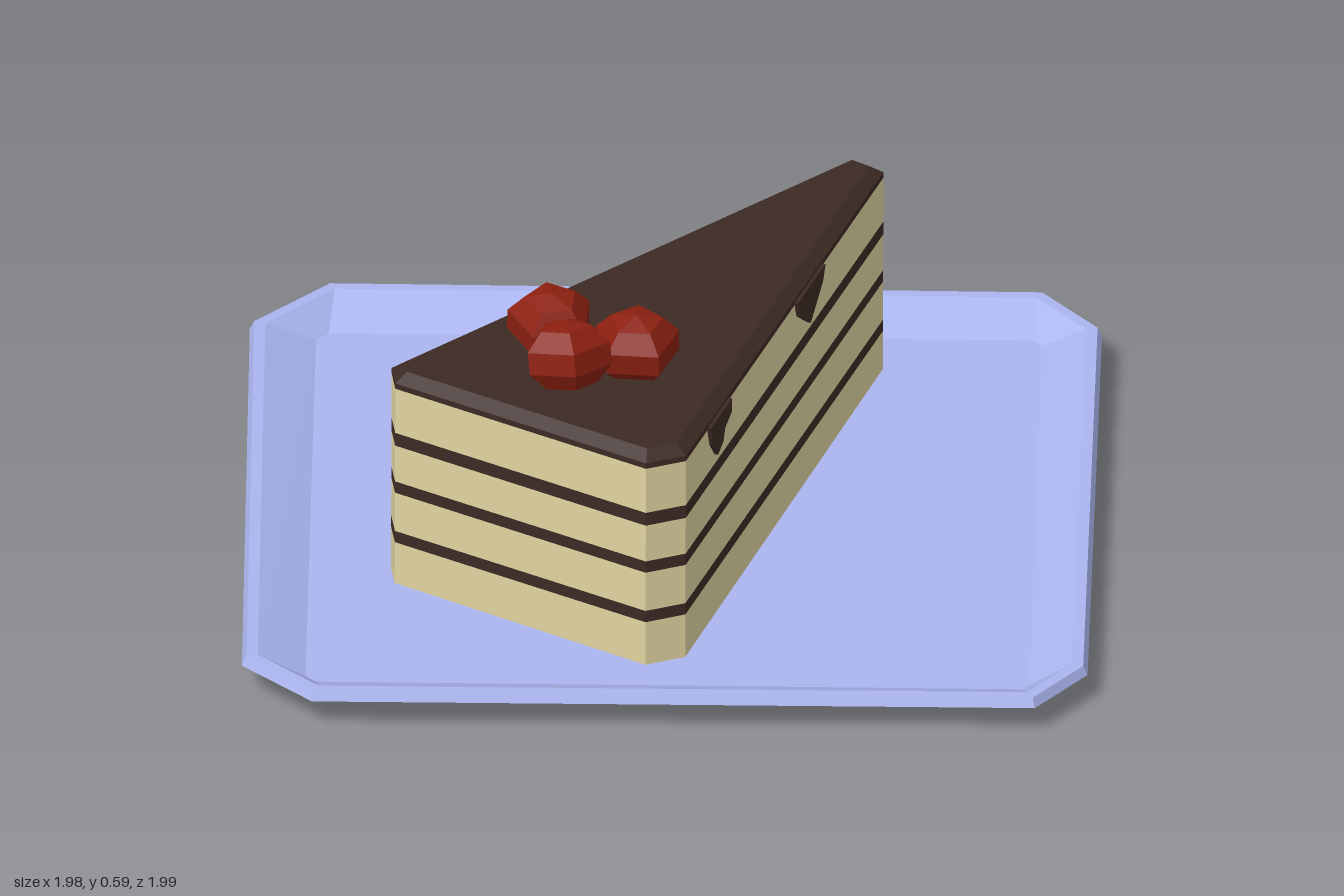
import * as THREE from 'three';

const mat = (color) => new THREE.MeshStandardMaterial({ color, flatShading: true, side: THREE.DoubleSide });
const cream = mat(0xe0d4a0), chocolate = mat(0x3c2a24), cherryRed = mat(0x8c2010), china = mat(0xaab4ee);

// Outlines as [x, z], clockwise from above
const plateEdge = [[-0.22, -0.97], [-0.02, -1], [0.985, -0.2], [0.985, -0.03],
  [0.2, 0.95], [0.05, 0.99], [-0.97, 0.19], [-0.99, 0.01]];
const sliceEdge = [[-0.56, -0.1], [-0.53, -0.15], [0.6, -0.27], [0.62, -0.2], [-0.31, 0.43], [-0.385, 0.41]];

// Moves every edge of an outline inward by k
function inset(pts, k) {
  const n = pts.length;
  const normal = (a, b) => {
    const dx = b[0] - a[0], dz = b[1] - a[1], l = Math.hypot(dx, dz);
    return [-dz / l, dx / l];
  };
  return pts.map((p, i) => {
    const a = normal(pts[(i + n - 1) % n], p), b = normal(p, pts[(i + 1) % n]);
    const f = k / (1 + a[0] * b[0] + a[1] * b[1]);
    return [p[0] + (a[0] + b[0]) * f, p[1] + (a[1] + b[1]) * f];
  });
}

// Draws the two ends of each corner cut together by t
function sharpen(pts, t) {
  return pts.map((p, i) => {
    const q = pts[i ^ 1];
    return [p[0] + (q[0] - p[0]) * t / 2, p[1] + (q[1] - p[1]) * t / 2];
  });
}

// Closed solid through a stack of [outline, height] rings
function loft(name, rings, material) {
  const n = rings[0][0].length, pos = [], idx = [];
  for (const [pts, y] of rings) for (const p of pts) pos.push(p[0], y, p[1]);
  for (let r = 0; r < rings.length - 1; r++) {
    for (let i = 0; i < n; i++) {
      const j = (i + 1) % n, a = r * n, b = a + n;
      idx.push(a + i, b + i, b + j, a + i, b + j, a + j);
    }
  }
  const top = (rings.length - 1) * n;
  for (let i = 1; i < n - 1; i++) idx.push(0, i, i + 1, top, top + i + 1, top + i);
  const g = new THREE.BufferGeometry();
  g.setAttribute('position', new THREE.Float32BufferAttribute(pos, 3));
  g.setIndex(idx);
  const flat = g.toNonIndexed();
  flat.computeVertexNormals();
  const mesh = new THREE.Mesh(flat, material);
  mesh.name = name;
  return mesh;
}

export function createModel() {
  const model = new THREE.Group();
  model.name = 'cakeSlice';

  // Shallow plate, tipped very slightly
  const plate = loft('plate', [
    [sharpen(inset(plateEdge, 0.075), 0.75), 0.008],
    [plateEdge, 0.058],
    [inset(plateEdge, 0.008), 0.075],
    [inset(plateEdge, 0.028), 0.075],
    [sharpen(inset(plateEdge, 0.085), 0.75), 0.035],
  ], china);
  plate.rotation.x = 0.008;
  model.add(plate);

  const cake = new THREE.Group();
  cake.name = 'cake';
  cake.rotation.z = -0.004;
  model.add(cake);

  // Alternating sponge and filling
  const levels = [0.03, 0.117, 0.14, 0.218, 0.241, 0.314, 0.34, 0.43];
  for (let i = 0; i < levels.length - 1; i++) {
    const sponge = i % 2 === 0;
    cake.add(loft(sponge ? 'sponge' : 'filling',
      [[sliceEdge, levels[i]], [sliceEdge, levels[i + 1]]], sponge ? cream : chocolate));
  }

  // Icing with a bevelled rim
  cake.add(loft('icing', [
    [sliceEdge, 0.43], [sliceEdge, 0.441], [inset(sliceEdge, 0.022), 0.458],
  ], chocolate));

  // Drips hanging down the long front side, as [distance along side, height]
  const drips = [
    [[0.12, 0.435], [0.133, 0.395], [0.163, 0.36], [0.193, 0.372], [0.203, 0.395], [0.24, 0.408], [0.242, 0.435]],
    [[0.616, 0.435], [0.628, 0.402], [0.69, 0.358], [0.735, 0.39], [0.76, 0.408], [0.773, 0.435]],
  ];
  for (const d of drips) {
    const shape = new THREE.Shape(d.map(([u, y]) => new THREE.Vector2(u, y)));
    const drip = new THREE.Mesh(
      new THREE.ExtrudeGeometry(shape, { depth: 0.014, bevelEnabled: false }), chocolate);
    drip.name = 'drip';
    drip.position.set(-0.31, 0, 0.43);
    drip.rotation.y = Math.atan2(0.63, 0.93);
    drip.translateZ(-0.007);
    cake.add(drip);
  }

  // Three faceted cherries: x, y, z, turn, tilt
  const cherries = [
    [-0.27, 0.505, -0.02, 0.5, 0.1],
    [-0.34, 0.522, 0.12, 1.1, -0.12],
    [-0.2, 0.505, 0.14, 0.2, 0.08],
  ];
  for (const [x, y, z, turn, tilt] of cherries) {
    const cherry = new THREE.Mesh(new THREE.SphereGeometry(0.083, 5, 5), cherryRed);
    cherry.name = 'cherry';
    cherry.scale.y = 0.8;
    cherry.position.set(x, y, z);
    cherry.rotation.set(tilt, turn, tilt);
    cake.add(cherry);
  }
  return model;
}
